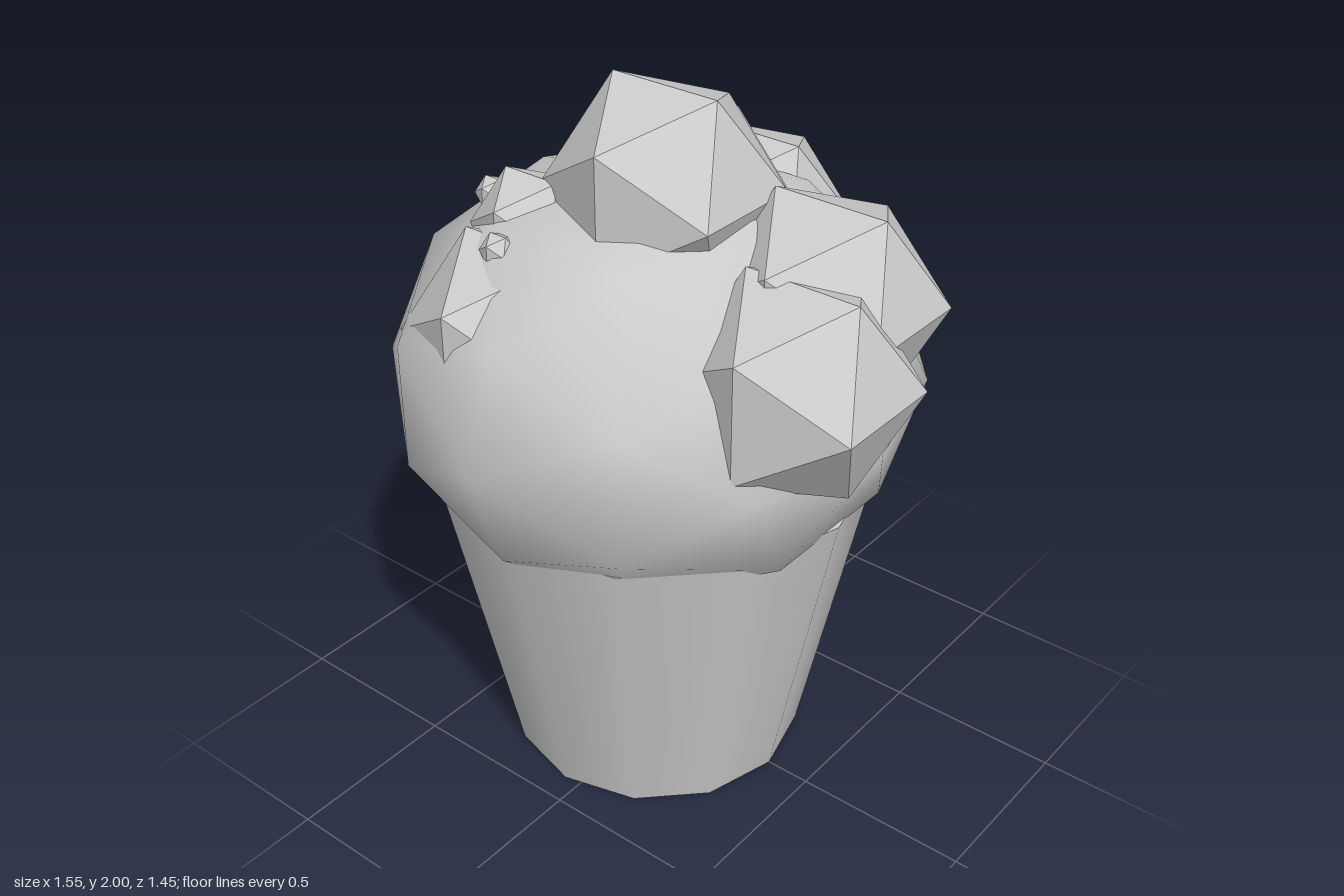
import * as THREE from 'three';

export function createModel() {
  const model = new THREE.Group();
  const grey = new THREE.MeshStandardMaterial({ color: 0xcccccc });
  grey.name = 'plain grey';

  function add(name, geometry, x, y, z) {
    const mesh = new THREE.Mesh(geometry, grey);
    mesh.name = name;
    mesh.position.set(x, y, z);
    model.add(mesh);
    return mesh;
  }

  // Tapered twelve-sided cup
  add('cup', new THREE.CylinderGeometry(0.61, 0.42, 0.92, 12), -0.05, 0.46, 0);

  // Squashed smooth dome bulging over the rim
  const dome = add('dome', new THREE.IcosahedronGeometry(0.725, 1), -0.05, 1.19, 0);
  dome.scale.y = 0.8;

  // Faceted chunks sunk into the dome: x, y, z, radius
  const chunks = [
    [0.005, 1.736, 0.03, 0.31],
    [0.43, 1.506, -0.08, 0.31],
    [0.51, 1.4, 0.145, 0.31],
    [-0.065, 1.45, -0.42, 0.31],
    [-0.025, 1.675, -0.065, 0.294],
    [-0.215, 1.37, 0.355, 0.305],
    [-0.29, 1.6, 0.2, 0.165],
    [-0.21, 1.73, -0.02, 0.12],
    [-0.445, 1.64, 0.18, 0.05],
    [-0.23, 1.62, 0.39, 0.05],
  ];
  chunks.forEach(([x, y, z, r], i) => {
    add(`toppingChunk${i + 1}`, new THREE.IcosahedronGeometry(r, 0), x, y, z);
  });

  return model;
}
